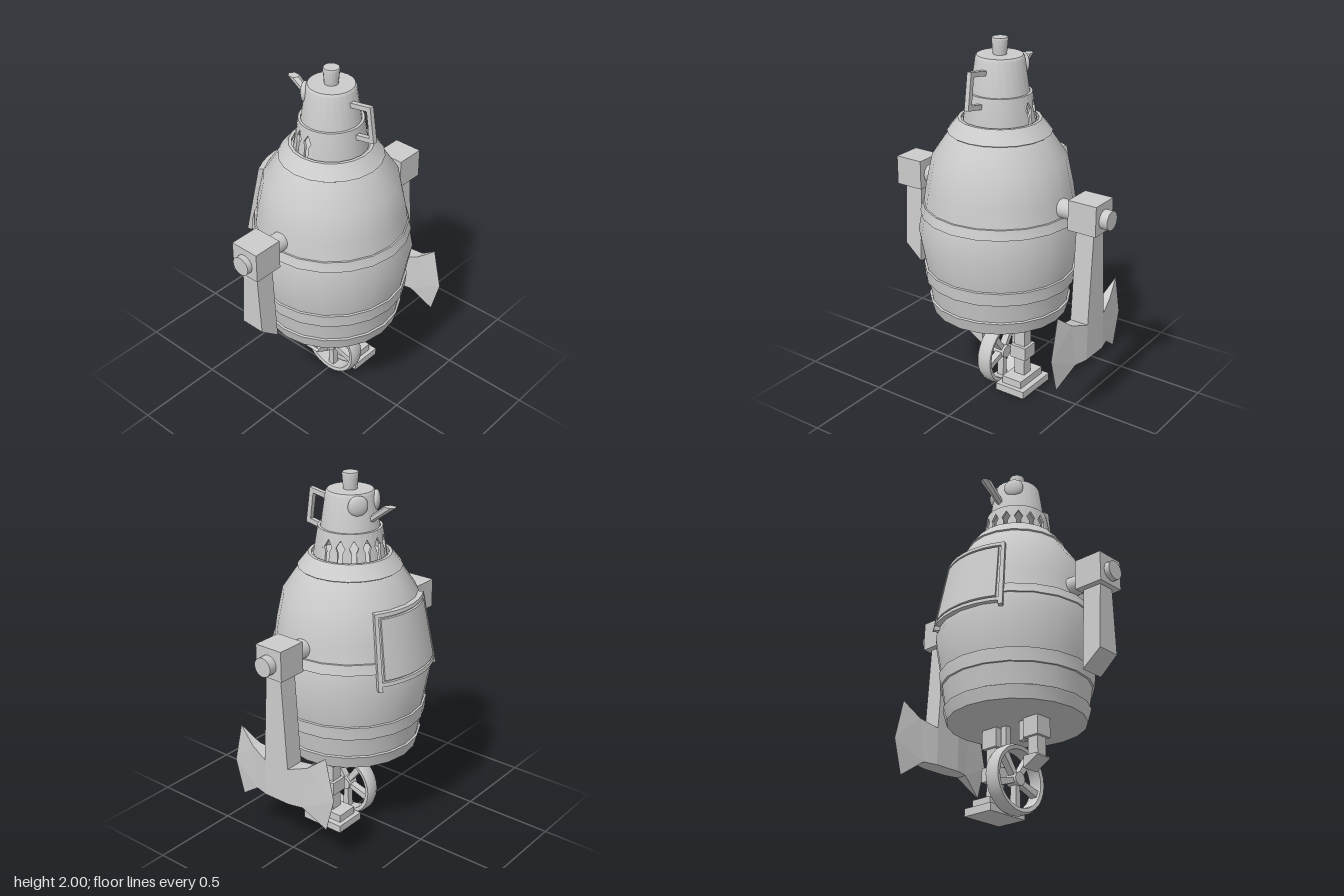
import * as THREE from 'three';
import { toCreasedNormals } from 'three/addons/utils/BufferGeometryUtils.js';
import { ConvexGeometry } from 'three/addons/geometries/ConvexGeometry.js';

const material = new THREE.MeshStandardMaterial({ color: 0xcccccc });
const V = (x, y, z) => new THREE.Vector3(x, y, z);

function add(parent, name, geometry, x = 0, y = 0, z = 0) {
  const mesh = new THREE.Mesh(geometry, material);
  mesh.name = name;
  mesh.position.set(x, y, z);
  parent.add(mesh);
  return mesh;
}

function addGroup(parent, name, x = 0, y = 0, z = 0) {
  const group = new THREE.Group();
  group.name = name;
  group.position.set(x, y, z);
  parent.add(group);
  return group;
}

// Box given by its limits in x and y and its half depth around z = 0
function addBox(parent, name, x0, x1, y0, y1, halfZ) {
  const g = new THREE.BoxGeometry(x1 - x0, y1 - y0, halfZ * 2);
  return add(parent, name, g, (x0 + x1) / 2, (y0 + y1) / 2, 0);
}

function lathe(points, segments = 20, start = 0, length = Math.PI * 2) {
  const profile = points.map(([r, y]) => new THREE.Vector2(r, y));
  return toCreasedNormals(new THREE.LatheGeometry(profile, segments, start, length), 0.5);
}

function shapeOf(points) {
  return new THREE.Shape(points.map(([x, y]) => new THREE.Vector2(x, y)));
}

// Flat plate outlined in (z, y), thick along x and centred on x = 0
function plate(points, thickness) {
  const g = new THREE.ExtrudeGeometry(shapeOf(points), { depth: thickness, bevelEnabled: false });
  return g.translate(0, 0, -thickness / 2).rotateY(-Math.PI / 2);
}

// Moves every vertex by a rule
function remap(geometry, rule) {
  const p = geometry.attributes.position;
  for (let i = 0; i < p.count; i++) p.setXYZ(i, ...rule(p.getX(i), p.getY(i), p.getZ(i)));
  geometry.computeVertexNormals();
  return geometry;
}

function buildBarrel(body) {
  add(body, 'barrel', lathe([
    [0, 0.485], [0.372, 0.485], [0.392, 0.555], [0.382, 0.56],
    [0.4, 0.672], [0.412, 0.672], [0.418, 0.745], [0.408, 0.748],
    [0.442, 0.94], [0.422, 1.05], [0.43, 1.052], [0.416, 1.105], [0.409, 1.107],
    [0.396, 1.2], [0.36, 1.37], [0.272, 1.5], [0.279, 1.505],
    [0.222, 1.577], [0.205, 1.577], [0.205, 1.56], [0, 1.56],
  ]));

  // Hatch on the rear wall: slabs bent to follow the barrel
  const hatch = addGroup(body, 'hatch');
  const slab = (name, a0, a1, y0, y1, lift) => {
    const g = new THREE.BoxGeometry(1, 1, 1, Math.max(1, Math.round((a1 - a0) / 9)), 1, 1);
    add(hatch, name, toCreasedNormals(remap(g, (x, y, z) => {
      const a = Math.PI + THREE.MathUtils.degToRad(a0 + (x + 0.5) * (a1 - a0));
      const yy = y0 + (y + 0.5) * (y1 - y0);
      const r = 0.36 + (1.36 - yy) * 0.19 + (z > 0 ? lift : -0.04);
      return [r * Math.sin(a), yy, r * Math.cos(a)];
    }), 0.5));
  };
  slab('hatchBack', -33, 33, 1.0, 1.35, 0.014);
  slab('hatchDoor', -28, 28, 1.02, 1.335, 0.028);
  slab('hatchFrameTop', -33, 33, 1.345, 1.365, 0.028);
  slab('hatchFrameBottom', -33, 33, 0.99, 1.01, 0.028);
  for (const s of [-1, 1]) slab('hatchFrameSide', s * 31.5 - 1.5, s * 31.5 + 1.5, 0.965, 1.365, 0.03);
}

function buildHead(body) {
  const head = addGroup(body, 'head');
  add(head, 'headDome', lathe([[0, 1.7], [0.158, 1.7], [0.129, 1.9], [0.121, 1.912], [0, 1.912]], 24));
  add(head, 'knob', lathe([[0.036, 1.905], [0.038, 1.925], [0.044, 1.992], [0.041, 2], [0, 2]], 16));

  // Collar: plain in front, pointed openings around the back
  const step = Math.PI / 8;
  add(head, 'collarFront', lathe(
    [[0.18, 1.56], [0.193, 1.56], [0.193, 1.575], [0.17, 1.72], [0.156, 1.72], [0.18, 1.56]],
    14, -Math.PI / 2 + step / 2, Math.PI - step));
  const w = 0.18 * step / 2;
  const panel = shapeOf([
    [-w, 1.56], [-0.012, 1.56], [-0.012, 1.62], [-0.024, 1.645], [0, 1.685],
    [0.024, 1.645], [0.012, 1.62], [0.012, 1.56], [w, 1.56], [w, 1.72], [0, 1.72], [-w, 1.72],
  ]);
  for (let k = 0; k <= 8; k++) {
    const g = new THREE.ExtrudeGeometry(panel, { depth: 0.013, bevelEnabled: false });
    add(head, 'collarArch', remap(g, (u, v, d) => {
      const a = Math.PI / 2 + k * step + u / 0.18;
      const r = 0.193 - (v - 1.575) * 0.159 - 0.013 + d;
      return [r * Math.sin(a), v, r * Math.cos(a)];
    }));
  }

  // Bulging eyes
  for (const s of [-1, 1]) {
    const a = Math.PI + s * 0.6;
    const eye = add(head, 'eye', new THREE.SphereGeometry(0.054, 20, 12),
      0.133 * Math.sin(a), 1.855, 0.133 * Math.cos(a));
    eye.scale.set(1, 1, 0.42);
    eye.rotation.y = a;
  }

  // Spout: a hexagonal tube flaring to a level mouth
  const spout = [];
  for (let i = 0; i < 6; i++) {
    const c = Math.cos(i * Math.PI / 3), s = Math.sin(i * Math.PI / 3);
    spout.push(V(0.018 * s, 1.765 + 0.022 * c, -0.125), V(0.028 * s, 1.862, -0.257 + 0.034 * c));
  }
  add(head, 'spout', new ConvexGeometry(spout));

  add(head, 'handle', plate([
    [0.12, 1.852], [0.262, 1.875], [0.29, 1.68], [0.16, 1.657], [0.16, 1.684],
    [0.26, 1.702], [0.24, 1.845], [0.12, 1.825],
  ], 0.026));
}

function buildArms(model) {
  for (const s of [-1, 1]) {
    const shoulder = addGroup(model, s > 0 ? 'leftShoulder' : 'rightShoulder', 0, 0, 0.007);
    const axle = new THREE.CylinderGeometry(0.052, 0.052, 0.34, 20).rotateZ(Math.PI / 2);
    add(shoulder, 'axle', axle, s * 0.517, 1.155, 0);
    const cx = s > 0 ? 0.558 : -0.573;
    addBox(shoulder, 'shoulderBlock', cx - 0.083, cx + 0.083, 1.08, 1.245, 0.083);
  }

  // Right arm: tapered bar with a slanted end
  const bar = [];
  for (const s of [-1, 1]) {
    bar.push(V(-0.625, 1.09, s * 0.048), V(-0.515, 1.09, s * 0.048),
      V(-0.625, 0.72, s * 0.068), V(-0.515, 0.63, s * 0.072));
  }
  add(model, 'rightArm', new ConvexGeometry(bar), 0, 0, 0.007);

  // Left arm: shaft with a double blade thinning to its edges
  const axe = addGroup(model, 'leftArm', 0.558, 0, 0.005);
  add(axe, 'axeShaft', plate([
    [-0.048, 1.09], [-0.08, 0.57], [-0.08, 0.36], [0.08, 0.36], [0.08, 0.57], [0.048, 1.09],
  ], 0.106));
  for (const s of [-1, 1]) {
    const g = plate([
      [0.08, 0.57], [0.08, 0.36], [0.16, 0.36], [0.293, 0.262],
      [0.345, 0.455], [0.293, 0.685], [0.19, 0.605],
    ].map(([z, y]) => [s * z, y]), 0.106);
    add(axe, 'axeBlade', remap(g, (x, y, z) =>
      [x * THREE.MathUtils.clamp((0.295 - Math.abs(z)) / 0.215, 0.01, 1), y, z]));
  }
}

function buildLegs(model) {
  const left = addGroup(model, 'leftLeg', 0, 0, 0.01);
  addBox(left, 'hip', 0.1, 0.2, 0.38, 0.49, 0.05);
  addBox(left, 'shin', 0.117, 0.183, 0.09, 0.385, 0.032);
  addBox(left, 'knee', 0.102, 0.2, 0.2, 0.277, 0.05);
  addBox(left, 'footTop', 0.085, 0.21, 0.05, 0.095, 0.105);
  addBox(left, 'footBase', 0.058, 0.243, 0.01, 0.052, 0.13);

  // Right leg ends in a short broken stump
  const right = addGroup(model, 'rightLeg', 0, 0, 0.01);
  addBox(right, 'hip', -0.19, -0.09, 0.38, 0.49, 0.05);
  addBox(right, 'shin', -0.175, -0.11, 0.27, 0.385, 0.032);
  const stump = [];
  for (const z of [-0.05, 0.05]) {
    stump.push(V(-0.187, 0.27, z), V(-0.175, 0.282, z), V(-0.095, 0.282, z), V(-0.095, 0.217, z));
  }
  add(right, 'stump', new ConvexGeometry(stump));

  // Wheel between the legs, with its two hangers
  addBox(model, 'wheelHanger', -0.076, -0.042, 0.38, 0.49, 0.018);
  addBox(model, 'wheelHanger', 0.048, 0.084, 0.315, 0.49, 0.018);
  const wheel = addGroup(model, 'wheel', 0.008, 0.187, 0.01);
  const rim = lathe([[0.155, -0.038], [0.176, -0.042], [0.186, -0.02], [0.186, 0.02],
    [0.176, 0.042], [0.155, 0.038], [0.155, -0.038]], 28);
  add(wheel, 'rim', rim.rotateZ(Math.PI / 2));
  add(wheel, 'hub', new THREE.CylinderGeometry(0.036, 0.036, 0.07, 16).rotateZ(Math.PI / 2));
  for (let i = 0; i < 5; i++) {
    const g = plate([[-0.014, 0.02], [0.014, 0.02], [0.019, 0.162], [-0.019, 0.162]], 0.04);
    add(wheel, 'spoke', g.rotateX(Math.PI + i * Math.PI * 0.4));
  }
}

export function createModel() {
  const model = new THREE.Group();
  model.name = 'barrelRobot';
  const body = addGroup(model, 'body', -0.008, 0, 0.007);
  buildBarrel(body);
  buildHead(body);
  buildArms(model);
  buildLegs(model);
  return model;
}
